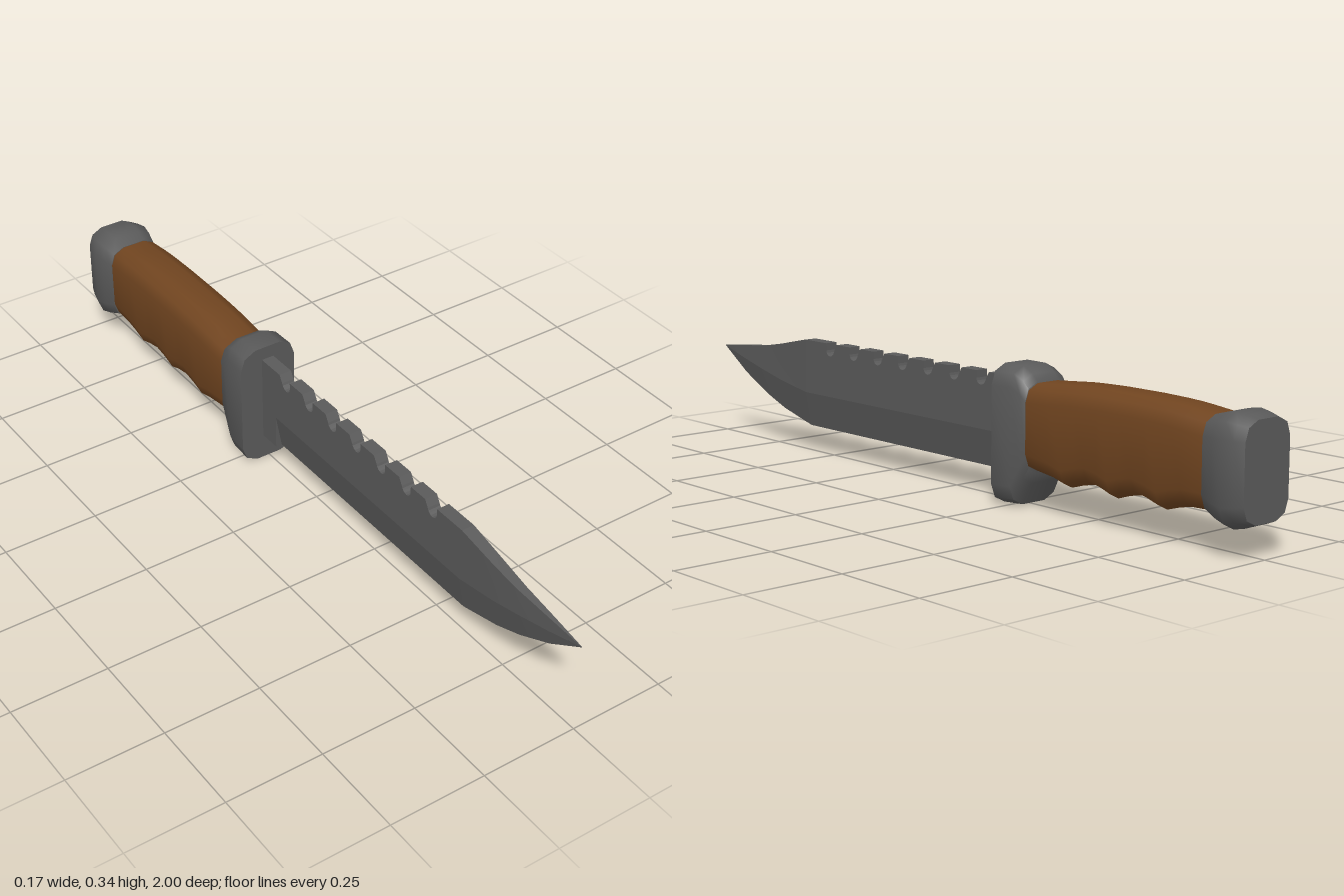
import * as THREE from 'three';
import { toCreasedNormals } from 'three/addons/utils/BufferGeometryUtils.js';

// Skin a list of rings (each counter-clockwise seen from +z, ordered back to front) and cap both ends
function loft(rings, crease) {
  const n = rings[0].length, index = [];
  const pos = rings.flat(2);
  for (let i = 0; i < rings.length - 1; i++) {
    for (let j = 0; j < n; j++) {
      const k = (j + 1) % n;
      const a = i * n + j, b = i * n + k, c = b + n, d = a + n;
      index.push(a, b, c, a, c, d);
    }
  }
  const last = (rings.length - 1) * n;
  for (let j = 1; j < n - 1; j++) {
    index.push(0, j + 1, j);
    index.push(last, last + j, last + j + 1);
  }
  const geo = new THREE.BufferGeometry();
  geo.setAttribute('position', new THREE.Float32BufferAttribute(pos, 3));
  geo.setIndex(index);
  return toCreasedNormals(geo, crease);
}

// Rounded twelve-sided section: half width w, from y0 up to y1
function roundedRing([z, w, y0, y1]) {
  const corner = [[1, 0.62], [0.85, 0.2], [0.45, 0]];
  const right = corner.map(([x, d]) => [x * w, y1 - d * w, z]);
  const left = [...corner].reverse().map(([x, d]) => [-x * w, y1 - d * w, z]);
  const lowLeft = corner.map(([x, d]) => [-x * w, y0 + d * w, z]);
  const lowRight = [...corner].reverse().map(([x, d]) => [x * w, y0 + d * w, z]);
  return [...right, ...left, ...lowLeft, ...lowRight];
}

export function createModel() {
  const knife = new THREE.Group();
  knife.name = 'knife';
  const steel = new THREE.MeshStandardMaterial({ color: 0x5a5a5a });
  steel.name = 'dark steel';
  const wood = new THREE.MeshStandardMaterial({ color: 0x714520 });
  wood.name = 'brown wood';
  const add = (name, geo, mat) => {
    const mesh = new THREE.Mesh(geo, mat);
    mesh.name = name;
    knife.add(mesh);
  };

  const T = 0.017, SPINE = 0.303, BEVEL = 0.16, EDGE = 0.068;

  // Flat of the blade with the full-thickness heel and the saw notches along the spine
  const flat = new THREE.Shape();
  flat.moveTo(-0.23, EDGE);
  flat.lineTo(-0.157, EDGE);
  flat.lineTo(-0.157, BEVEL);
  flat.lineTo(0.6, BEVEL);
  flat.lineTo(0.6, SPINE);
  for (let i = 0; i < 7; i++) {
    const z = 0.49 - i * 0.1;
    flat.lineTo(z + 0.018, SPINE);
    flat.lineTo(z + 0.018, 0.284);
    flat.quadraticCurveTo(z + 0.016, 0.27, z + 0.002, 0.269);
    flat.quadraticCurveTo(z - 0.012, 0.271, z - 0.016, 0.284);
    flat.lineTo(z - 0.027, SPINE);
  }
  flat.lineTo(-0.23, SPINE);
  const flatGeo = new THREE.ExtrudeGeometry(flat, { depth: 2 * T, bevelEnabled: false, curveSegments: 4 });
  flatGeo.rotateY(-Math.PI / 2).translate(T, 0, 0);
  add('bladeFlat', flatGeo, steel);

  // Ground cutting edge
  const edgeRing = z => [[0, EDGE, z], [T, BEVEL, z], [-T, BEVEL, z]];
  add('cuttingEdge', loft([edgeRing(-0.157), edgeRing(0.6)], 0.1), steel);

  // Clip point: z, spine half width, bevel half width, edge y, bevel y, spine y
  const tip = [
    [0.6, T, T, EDGE, BEVEL, SPINE],
    [0.72, 0.0145, 0.0155, 0.099, 0.18, 0.278],
    [0.8, 0.011, 0.013, 0.129, 0.197, 0.264],
    [0.9, 0.006, 0.008, 0.178, 0.219, 0.254],
    [1, 0.0004, 0.0004, 0.2425, 0.243, 0.2435],
  ].map(([z, ws, wb, e, b, s]) => [[0, e, z], [wb, b, z], [ws, s, z], [-ws, s, z], [-wb, b, z]]);
  add('bladeTip', loft(tip, 0.1), steel);

  // Guard: z, half width, bottom, top
  add('guard', loft([
    [-0.325, 0.071, 0.085, 0.305],
    [-0.31, 0.074, 0.06, 0.322],
    [-0.28, 0.078, 0.004, 0.338],
    [-0.217, 0.08, 0, 0.338],
  ].map(roundedRing), 0.9), steel);

  // Grip with finger swells along the underside
  add('grip', loft([
    [-0.89, 0.07, 0.092, 0.302],
    [-0.82, 0.072, 0.09, 0.309],
    [-0.785, 0.072, 0.083, 0.312],
    [-0.745, 0.072, 0.071, 0.314],
    [-0.71, 0.072, 0.082, 0.315],
    [-0.67, 0.072, 0.09, 0.316],
    [-0.63, 0.072, 0.083, 0.316],
    [-0.595, 0.072, 0.071, 0.316],
    [-0.56, 0.072, 0.083, 0.316],
    [-0.52, 0.072, 0.09, 0.315],
    [-0.485, 0.072, 0.083, 0.314],
    [-0.445, 0.072, 0.071, 0.312],
    [-0.4, 0.072, 0.083, 0.308],
    [-0.315, 0.07, 0.094, 0.301],
  ].map(roundedRing), 0.9), wood);

  // Pommel
  add('pommel', loft([
    [-1, 0.072, 0.08, 0.308],
    [-0.975, 0.081, 0.07, 0.314],
    [-0.945, 0.086, 0.063, 0.319],
    [-0.915, 0.081, 0.072, 0.314],
    [-0.88, 0.072, 0.088, 0.304],
  ].map(roundedRing), 0.9), steel);

  return knife;
}
